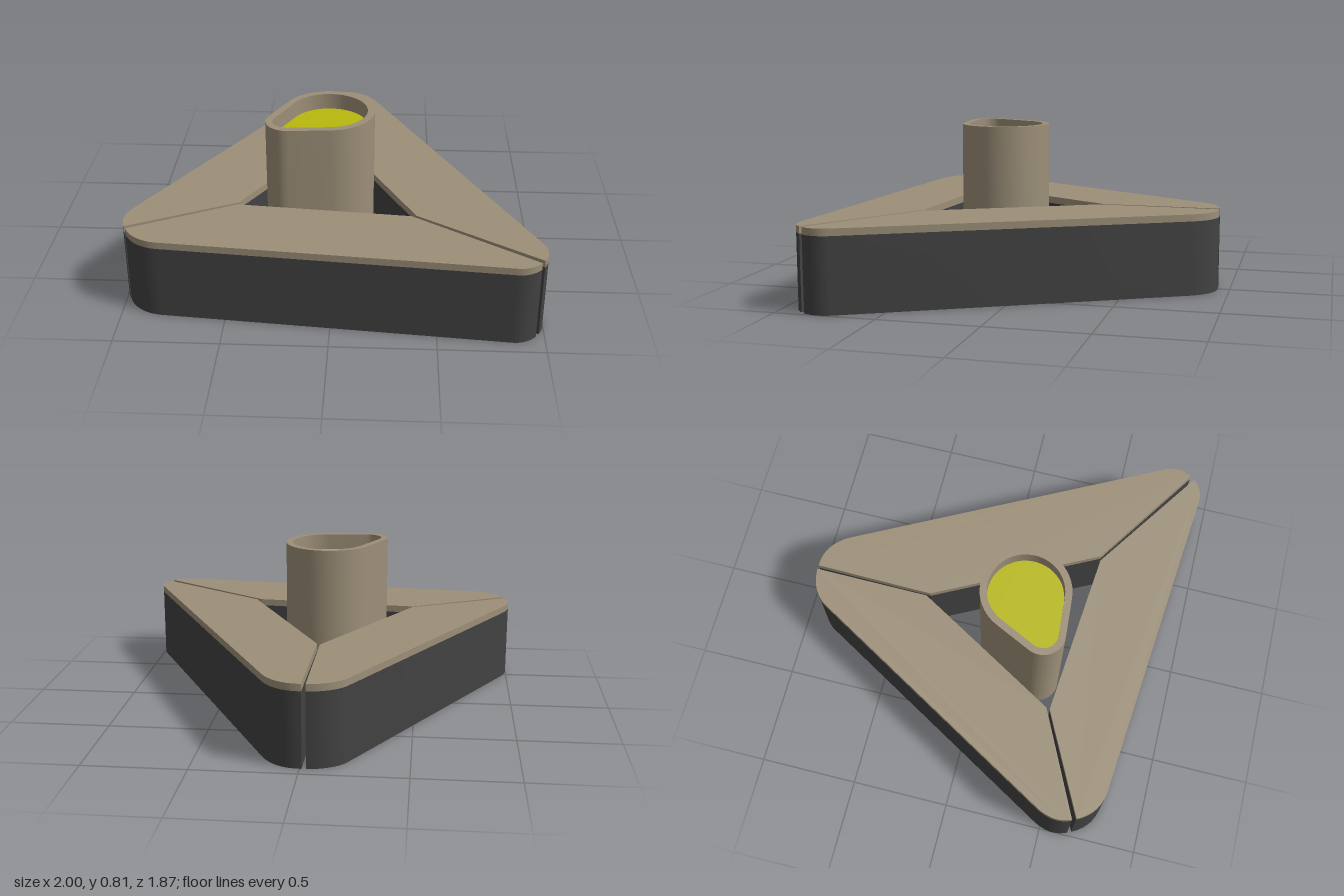
import * as THREE from 'three';
import { toCreasedNormals } from 'three/addons/utils/BufferGeometryUtils.js';

const SEAT_TOP = 0.405, SEAT_BOTTOM = 0.37;
const PLANTER_TOP = 0.81, SOIL_TOP = 0.73;

// Extrude a floor-plan shape (shape x, y = model x, z) between two heights
function slab(shape, y0, y1) {
  const g = new THREE.ExtrudeGeometry(shape, { depth: y1 - y0, bevelEnabled: false, curveSegments: 16 });
  g.rotateX(Math.PI / 2).translate(0, y1, 0);
  return toCreasedNormals(g, 0.45);
}

// Plan of one bench: two inner corners and two rounded outer ends [start, control, end]
function benchShape({ innerA, endA, endB, innerB }) {
  const s = new THREE.Shape();
  s.moveTo(...innerA);
  s.lineTo(...endA[0]);
  s.quadraticCurveTo(...endA[1], ...endA[2]);
  s.lineTo(...endB[0]);
  s.quadraticCurveTo(...endB[1], ...endB[2]);
  s.lineTo(...innerB);
  s.closePath();
  return s;
}

// Teardrop plan: a large and a small circle joined by their common tangents
function teardrop(inset, PathType = THREE.Shape) {
  const big = { x: -0.035, z: 0.175, r: 0.225 - inset };
  const small = { x: -0.225, z: 0.305, r: 0.11 - inset };
  const dx = big.x - small.x, dz = big.z - small.z;
  const a = Math.atan2(dz, dx);
  const b = Math.acos((small.r - big.r) / Math.hypot(dx, dz));
  const p = new PathType();
  p.absarc(big.x, big.z, big.r, a - b, a + b, false);
  p.absarc(small.x, small.z, small.r, a + b, a - b + 2 * Math.PI, false);
  p.closePath();
  return p;
}

export function createModel() {
  const model = new THREE.Group();
  model.name = 'triangularBenchWithPlanter';

  const material = (name, color) => {
    const m = new THREE.MeshStandardMaterial({ color });
    m.name = name;
    return m;
  };
  const tan = material('tanComposite', 0x9c8f78);
  const dark = material('darkGrey', 0x424242);
  const yellow = material('yellowFill', 0xb8b80e);

  const add = (parent, name, geometry, mat) => {
    const mesh = new THREE.Mesh(geometry, mat);
    mesh.name = name;
    parent.add(mesh);
  };

  // Three benches separated by narrow gaps at the corners
  const benches = {
    leftBench: {
      innerA: [-0.02, -0.33],
      endA: [[-0.01, -0.94], [0.12, -0.945], [0.19, -0.81]],
      endB: [[0.985, 0.72], [1.018, 0.79], [0.975, 0.86]],
      innerB: [0.4, 0.485],
    },
    frontBench: {
      innerA: [0.377, 0.49],
      endA: [[0.96, 0.88], [0.91, 0.938], [0.84, 0.93]],
      endB: [[-0.8, 0.785], [-0.92, 0.775], [-0.975, 0.665]],
      innerB: [-0.473, 0.414],
    },
    rightBench: {
      innerA: [-0.468, 0.396],
      endA: [[-0.985, 0.645], [-1.024, 0.56], [-0.97, 0.465]],
      endB: [[-0.205, -0.855], [-0.14, -0.935], [-0.03, -0.94]],
      innerB: [-0.035, -0.345],
    },
  };
  for (const [name, plan] of Object.entries(benches)) {
    const bench = new THREE.Group();
    bench.name = name;
    const shape = benchShape(plan);
    add(bench, 'benchBase', slab(shape, 0, SEAT_BOTTOM), dark);
    add(bench, 'benchSeat', slab(shape, SEAT_BOTTOM, SEAT_TOP), tan);
    model.add(bench);
  }

  // Central planter: hollow wall, closed floor and fill below the rim
  const planter = new THREE.Group();
  planter.name = 'planter';
  const wall = teardrop(0);
  wall.holes.push(teardrop(0.035, THREE.Path));
  add(planter, 'planterWall', slab(wall, 0, PLANTER_TOP), tan);
  add(planter, 'planterFloor', slab(teardrop(0.035), 0, 0.02), tan);
  add(planter, 'planterFill', slab(teardrop(0.035), SOIL_TOP - 0.02, SOIL_TOP), yellow);
  model.add(planter);

  return model;
}
